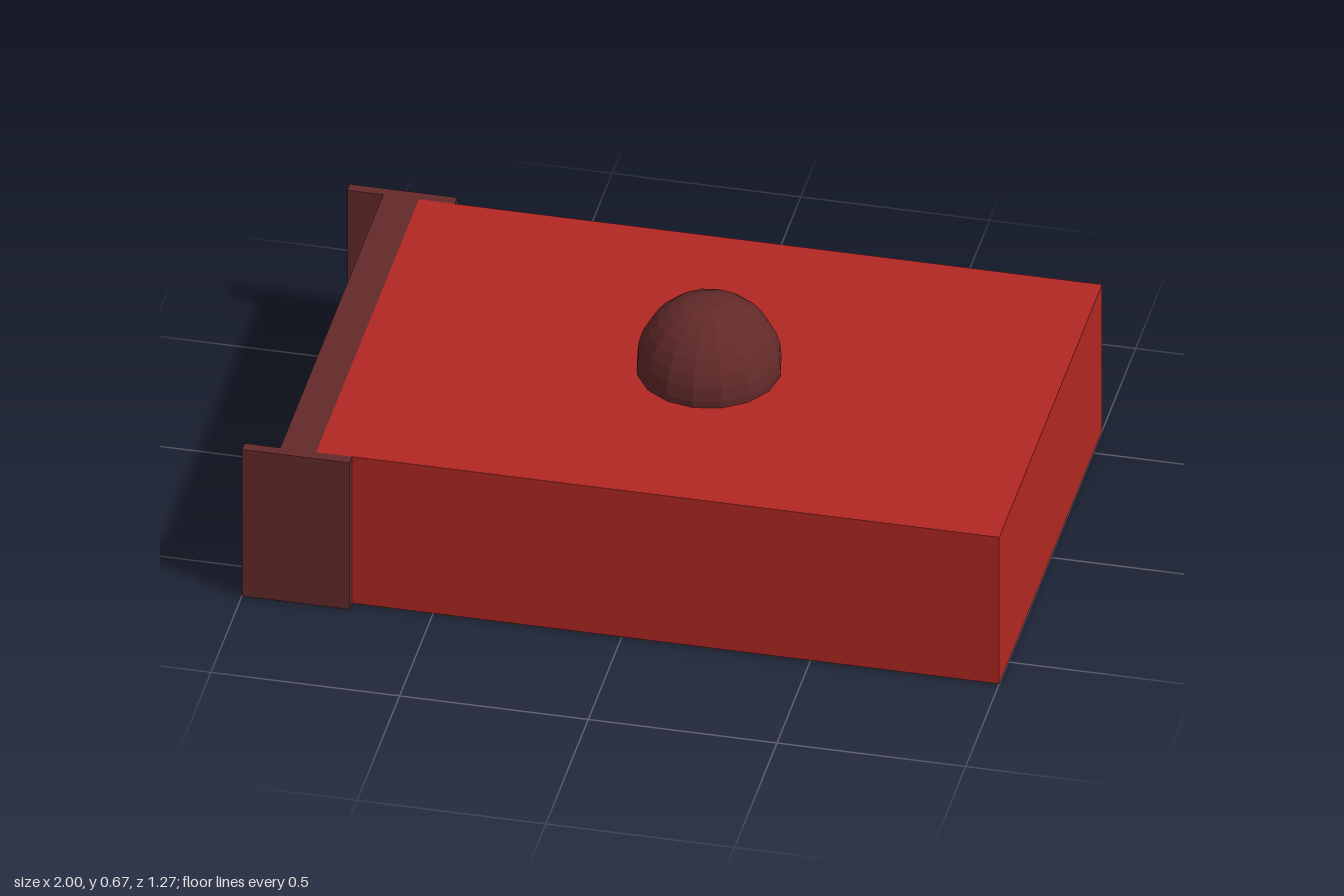
import * as THREE from 'three';

export function createModel() {
  const model = new THREE.Group();
  const red = new THREE.MeshStandardMaterial({ color: 0xb22822, flatShading: true });
  const dark = new THREE.MeshStandardMaterial({ color: 0x642a2a, flatShading: true });
  const height = 0.455;

  // Full-height box standing on the ground, given by its x and z limits
  function slab(name, material, x0, x1, z0, z1) {
    const mesh = new THREE.Mesh(new THREE.BoxGeometry(x1 - x0, height, z1 - z0), material);
    mesh.position.set((x0 + x1) / 2, height / 2, (z0 + z1) / 2);
    mesh.name = name;
    model.add(mesh);
  }

  // Main body and the dark panel closing its right end
  slab('body', red, -0.81, 1, -0.605, 0.605);
  slab('endPanel', dark, -0.905, -0.81, -0.605, 0.605);

  // Side plates overlapping the end panel and the body
  slab('frontSidePlate', dark, -1, -0.715, 0.605, 0.635);
  slab('backSidePlate', dark, -1, -0.715, -0.635, -0.605);

  // Faceted ball sunk into the top
  const dome = new THREE.Mesh(new THREE.SphereGeometry(0.19, 16, 16), dark);
  dome.position.set(0.095, 0.475, 0);
  dome.name = 'dome';
  model.add(dome);

  return model;
}
